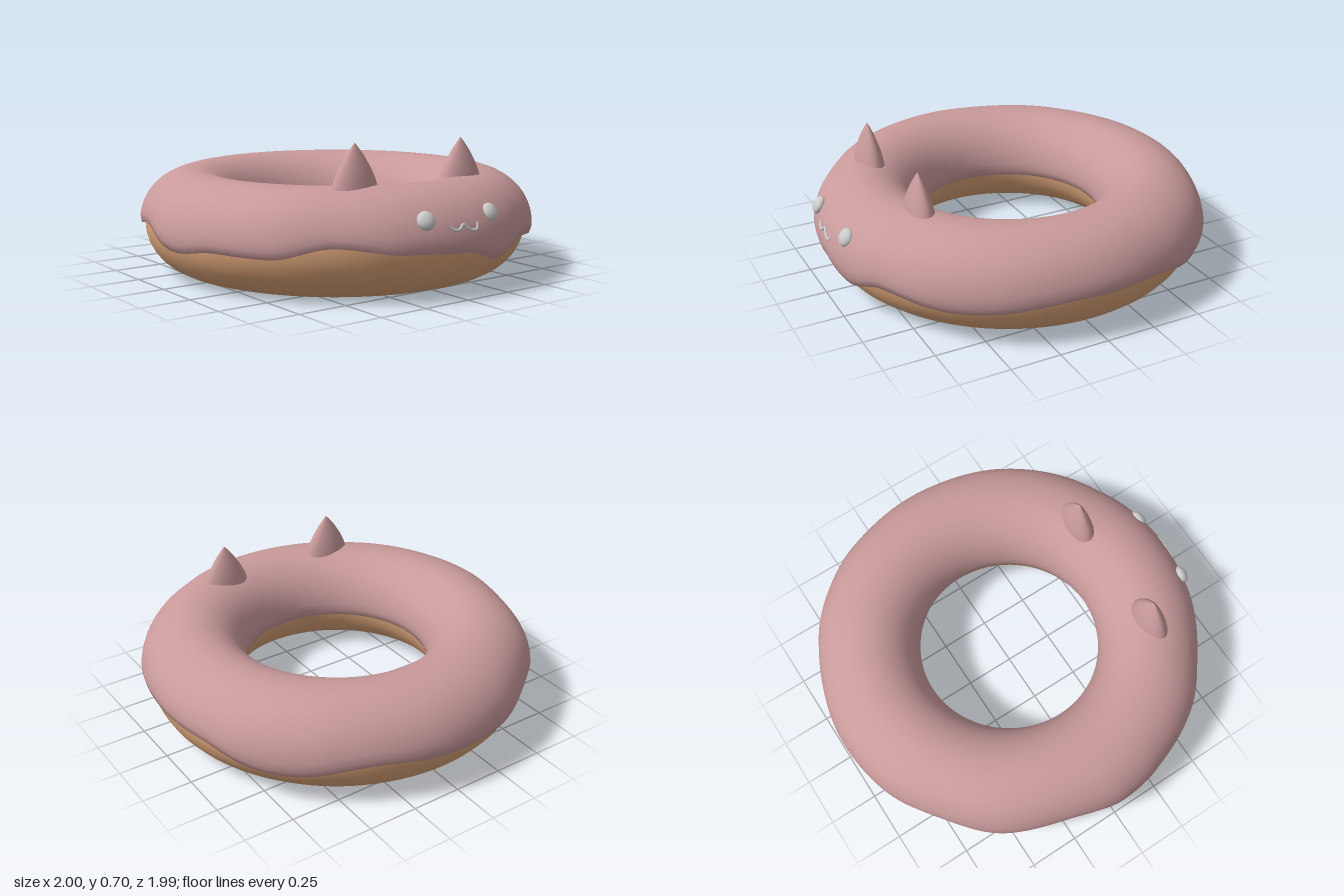
import * as THREE from 'three';

const RING = 0.72;
const pink = new THREE.MeshStandardMaterial({ color: 0xc99a9b });
const brown = new THREE.MeshStandardMaterial({ color: 0xd9a277 });
const grey = new THREE.MeshStandardMaterial({ color: 0xcccccc });

// Height of the icing's dripping outer edge: [degrees from +x towards +z, y]
const DRIPS = [
  [0, 0.215], [17, 0.23], [37, 0.268], [54, 0.212], [70, 0.217], [84, 0.188],
  [106, 0.27], [127, 0.22], [143, 0.25], [162, 0.213], [180, 0.215], [202, 0.24],
  [231, 0.175], [256, 0.24], [275, 0.24], [311, 0.185], [333, 0.22], [347, 0.155], [360, 0.215],
];

function dripHeight(deg) {
  const k = DRIPS.findIndex((d, i) => i > 0 && deg <= d[0]);
  const [a, ya] = DRIPS[k - 1];
  const [b, yb] = DRIPS[k];
  const t = (1 - Math.cos(Math.PI * (deg - a) / (b - a))) / 2;
  return ya + (yb - ya) * t;
}

function mesh(name, geometry, material) {
  const m = new THREE.Mesh(geometry, material);
  m.name = name;
  return m;
}

// Icing: an open section swept round the ring, both lips rolled into the dough
function icingGeometry() {
  const around = 180, across = 28, midY = 0.24, rise = 0.265;
  const lip = [0.82, 0.91, 0.97];
  const positions = [], index = [];
  for (let i = 0; i < around; i++) {
    const deg = 360 * i / around;
    const th = THREE.MathUtils.degToRad(deg);
    const edge = dripHeight(deg);
    const outward = 0.282 - 0.3 * Math.max(0, edge - 0.2);
    const a0 = Math.asin((edge - midY) / rise);
    const a1 = Math.PI - Math.asin((0.205 - midY) / rise);
    for (let j = 0; j <= across; j++) {
      const a = a0 + (a1 - a0) * THREE.MathUtils.clamp((j - 2) / (across - 4), 0, 1);
      const f = lip[Math.min(j, across - j)] ?? 1;
      const reach = Math.cos(a) > 0 ? outward : 0.255;
      const r = RING + Math.cos(a) * reach * f;
      positions.push(Math.cos(th) * r, midY + Math.sin(a) * rise * f, Math.sin(th) * r);
    }
  }
  const row = across + 1;
  for (let i = 0; i < around; i++) {
    for (let j = 0; j < across; j++) {
      const p = i * row + j;
      const q = ((i + 1) % around) * row + j;
      index.push(p, p + 1, q, q, p + 1, q + 1);
    }
  }
  const g = new THREE.BufferGeometry();
  g.setAttribute('position', new THREE.Float32BufferAttribute(positions, 3));
  g.setIndex(index);
  g.computeVertexNormals();
  return g;
}

export function createModel() {
  const model = new THREE.Group();
  model.name = 'frostedRing';

  // Dough ring
  const dough = mesh('dough', new THREE.TorusGeometry(RING, 0.245, 32, 96), brown);
  dough.rotation.x = Math.PI / 2;
  dough.position.y = 0.245;
  model.add(dough, mesh('icing', icingGeometry(), pink));

  // Ears: bulging cones, thin from front to back of the face
  const earProfile = [[0.14, 0], [0.128, 0.05], [0.112, 0.1], [0.088, 0.15], [0.05, 0.21], [0.018, 0.25], [0, 0.27]]
    .map(([r, y]) => new THREE.Vector2(r, y));
  const earGeometry = new THREE.LatheGeometry(earProfile, 32);
  for (const [name, z, y] of [['leftEar', 0.35, 0.43], ['rightEar', -0.295, 0.417]]) {
    const ear = mesh(name, earGeometry, pink);
    ear.position.set(0.617, y, z);
    ear.scale.x = 0.54;
    model.add(ear);
  }

  // Eyes: flattened balls leaning back on the icing
  const eyeGeometry = new THREE.SphereGeometry(0.045, 16, 12);
  for (const [name, z] of [['leftEye', 0.205], ['rightEye', -0.182]]) {
    const eye = mesh(name, eyeGeometry, grey);
    eye.position.set(0.942, 0.375, z);
    eye.rotation.set(0, -Math.atan2(z, 0.94), 0.5);
    eye.scale.x = 0.6;
    model.add(eye);
  }

  // Mouth: a thin wavy line laid on the icing
  const mouthPath = new THREE.CatmullRomCurve3([
    [0.095, 0.345], [0.075, 0.326], [0.045, 0.324], [0.015, 0.343],
    [-0.005, 0.328], [-0.03, 0.314], [-0.06, 0.318], [-0.073, 0.345],
  ].map(([z, y]) => {
    const r = RING + 0.279 * Math.sqrt(1 - ((y - 0.24) / 0.265) ** 2);
    return new THREE.Vector3(Math.sqrt(r * r - z * z), y, z);
  }));
  model.add(mesh('mouth', new THREE.TubeGeometry(mouthPath, 48, 0.007, 8), grey));

  return model;
}
